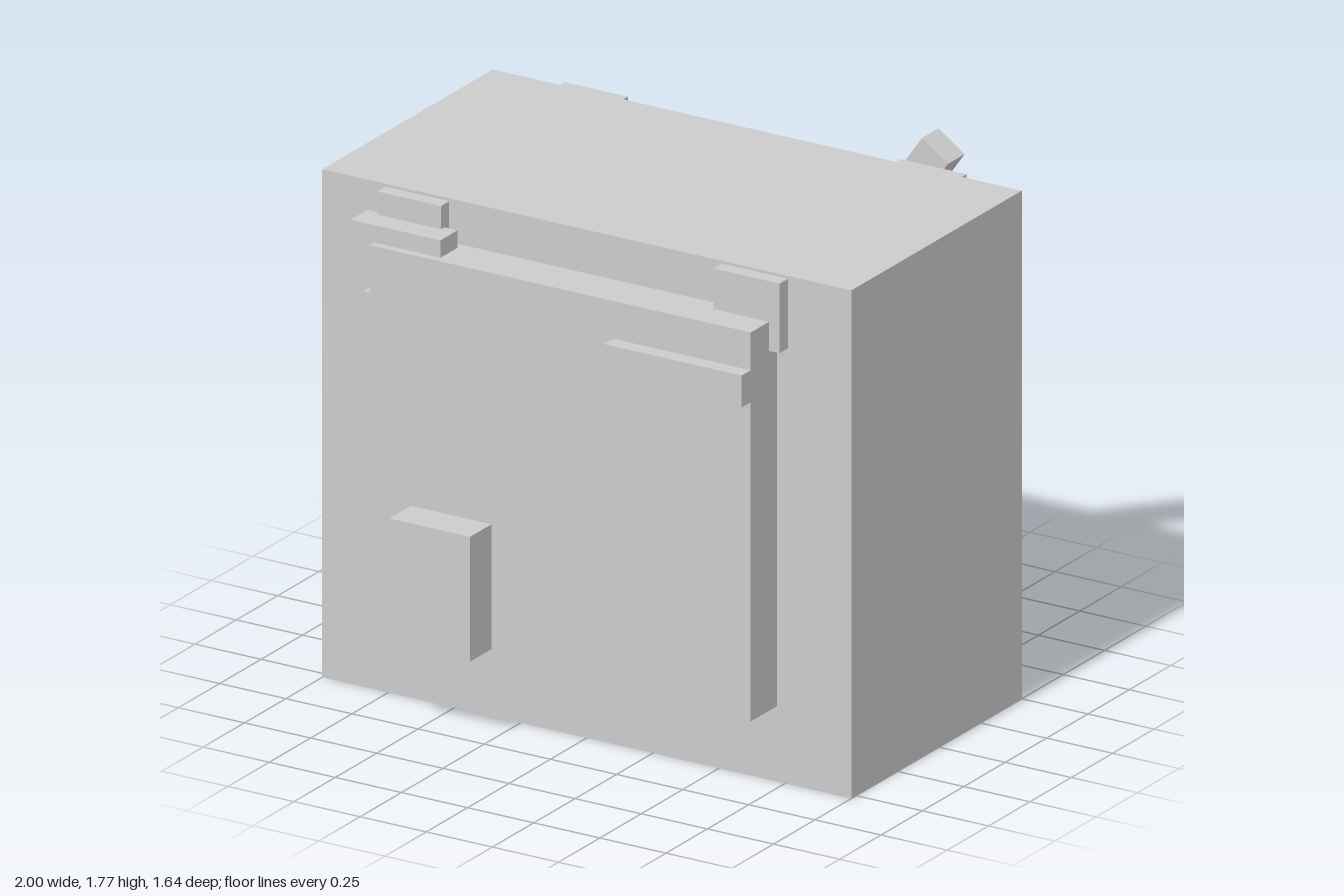
import * as THREE from 'three';

export function createModel() {
  const model = new THREE.Group();
  const grey = new THREE.MeshStandardMaterial({ color: 0xcccccc });
  grey.name = 'lightGrey';

  // Box given by its extents along each axis
  function block(name, [x0, x1], [y0, y1], [z0, z1]) {
    const mesh = new THREE.Mesh(new THREE.BoxGeometry(x1 - x0, y1 - y0, z1 - z0), grey);
    mesh.name = name;
    mesh.position.set((x0 + x1) / 2, (y0 + y1) / 2, (z0 + z1) / 2);
    model.add(mesh);
    return mesh;
  }

  // Main case
  block('body', [-1, 1], [0, 1.75], [-0.5, 0.53]);

  // Raised panels on both faces
  block('frontPanel', [-0.72, 0.72], [0.26, 1.6], [0.53, 0.69]);
  block('backPanel', [-0.72, 0.72], [0.26, 1.6], [-0.67, -0.5]);

  // Hanging tabs above the panels, two per face
  for (const [side, x] of [['right', [-0.76, -0.52]], ['left', [0.51, 0.76]]]) {
    block(side + 'FrontTab', x, [1.5, 1.74], [0.53, 0.58]);
    block(side + 'BackTab', x, [1.5, 1.74], [-0.55, -0.5]);
  }

  // Front details
  block('frontCornerBlock', [-0.81, -0.47], [1.455, 1.66], [0.56, 0.663]);
  block('frontCatch', [-0.755, -0.5], [1.31, 1.43], [0.57, 0.675]);
  block('frontHandle', [0.2, 0.72], [1.36, 1.47], [0.69, 0.745]);
  block('frontBox', [-0.565, -0.26], [0.305, 0.735], [0.69, 0.82]);

  // Back details
  block('backCornerBlock', [-0.81, -0.47], [1.4, 1.6], [-0.74, -0.64]);
  block('backPlate', [-0.52, 0.515], [0.31, 1.24], [-0.82, -0.67]);

  // Long slanted bar running through the back plate
  const bar = block('slantedBar', [-0.98, 0.98], [0.87, 0.99], [-0.78, -0.68]);
  bar.rotation.z = THREE.MathUtils.degToRad(55.2);

  return model;
}
